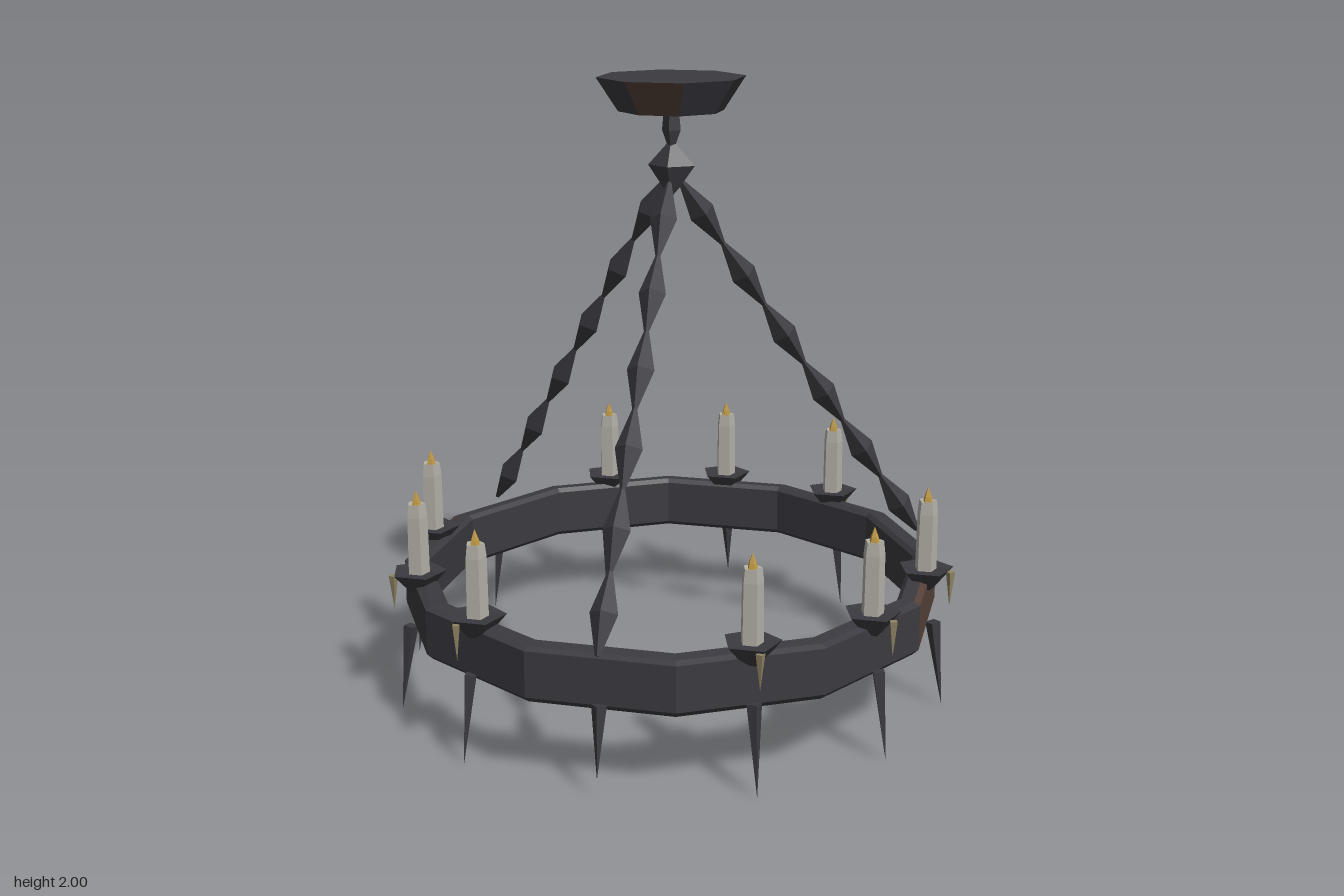
import * as THREE from 'three';

const iron = new THREE.MeshStandardMaterial({ color: 0x3b3a40 });
iron.name = 'dark iron';
const rust = new THREE.MeshStandardMaterial({ color: 0x55423a });
rust.name = 'rusty iron';
const wax = new THREE.MeshStandardMaterial({ color: 0xb2afa6 });
wax.name = 'candle wax';
const bone = new THREE.MeshStandardMaterial({ color: 0x8f8464 });
bone.name = 'old wax drip';
const gold = new THREE.MeshStandardMaterial({ color: 0xc09a45 });
gold.name = 'flame gold';

const rad = THREE.MathUtils.degToRad;

// Faceted mesh: every face gets its own normal
function part(name, geometry, material, parent) {
  const g = geometry.index ? geometry.toNonIndexed() : geometry;
  g.computeVertexNormals();
  const mesh = new THREE.Mesh(g, material);
  mesh.name = name;
  parent.add(mesh);
  return mesh;
}

// Lathe from [radius, height] pairs listed from bottom to top
function turned(points, sides, start = 0, length = Math.PI * 2) {
  return new THREE.LatheGeometry(points.map(p => new THREE.Vector2(...p)), sides, start, length);
}

// Twelve-sided hoop, rusty on the outside of its two side panels
function addHoop(parent) {
  const hoop = new THREE.Group();
  hoop.name = 'hoop';
  hoop.scale.x = 0.985;
  parent.add(hoop);
  const outer = [[0.868, 0.26], [0.889, 0.28], [0.889, 0.425], [0.868, 0.434]];
  const inner = [[0.868, 0.434], [0.825, 0.438], [0.81, 0.425], [0.81, 0.275], [0.825, 0.26], [0.868, 0.26]];
  for (let i = 0; i < 12; i++) {
    const material = i % 6 === 3 ? rust : iron;
    part('hoopPanel', turned(outer, 1, rad(i * 30 - 15), rad(30)), material, hoop);
  }
  part('hoopInside', turned(inner, 12, rad(15)), iron, hoop);
}

// Octagonal ceiling plate, rusty at front and back
function addCeilingPlate(parent) {
  const plate = new THREE.Group();
  plate.name = 'ceilingPlate';
  parent.add(plate);
  const wall = [[0.166, 1.895], [0.235, 2]];
  for (let i = 0; i < 8; i++) {
    const material = i % 4 === 0 ? rust : iron;
    part('plateSide', turned(wall, 1, rad(i * 45 - 22.5), rad(45)), material, plate);
  }
  part('plateTop', turned([[0.235, 2], [0, 2]], 8, rad(22.5)), iron, plate);
  part('plateBottom', turned([[0, 1.895], [0.166, 1.895]], 8, rad(22.5)), iron, plate);
}

// Chain of six stretched diamonds running from the hub down to the hoop
function addChain(parent) {
  const chain = new THREE.Group();
  chain.name = 'chain';
  parent.add(chain);
  const top = new THREE.Vector3(0, 1.675, 0.03);
  const end = new THREE.Vector3(0, 0.44, 0.875);
  const dir = end.clone().sub(top);
  const h = dir.length() / 12;
  const up = new THREE.Vector3(0, 1, 0);
  for (let i = 0; i < 6; i++) {
    const link = part('chainLink',
      turned([[0, -h], [0.008, -h], [0.043, 0], [0.008, h], [0, h]], 4), iron, chain);
    link.position.lerpVectors(top, end, (i + 0.5) / 6);
    link.quaternion.setFromUnitVectors(up, dir.clone().normalize().negate());
  }
}

// Dish, candle and flame; the corner of each pentagon points to the back
function addCandle(parent, angle) {
  const candle = new THREE.Group();
  candle.name = 'candle';
  candle.position.set(0.835 * Math.sin(angle), 0, 0.835 * Math.cos(angle));
  candle.rotation.y = Math.PI;
  parent.add(candle);
  part('dish', turned([[0, 0.4], [0.03, 0.4], [0.09, 0.468], [0, 0.46]], 5), iron, candle);
  part('wax', turned([[0.036, 0.45], [0.034, 0.65], [0.029, 0.692], [0, 0.685]], 5), wax, candle);
  part('flame', turned([[0.017, 0.683], [0.012, 0.705], [0, 0.737]], 5), gold, candle);
}

export function createModel() {
  const model = new THREE.Group();
  model.name = 'chandelier';
  const body = new THREE.Group();
  body.name = 'chandelierBody';
  body.position.z = 0.02;
  model.add(body);

  addHoop(body);
  addCeilingPlate(body);

  // Stem and diamond hub under the plate
  part('stem', turned([[0, 1.78], [0.012, 1.785], [0.03, 1.835], [0.024, 1.9]], 4), iron, body);
  const hub = part('hub', turned([[0, 1.625], [0.03, 1.66], [0.075, 1.725], [0.012, 1.795], [0, 1.8]], 4), iron, body);
  hub.scale.z = 0.68;

  for (let i = 0; i < 12; i++) {
    const angle = rad(i * 30);
    const spoke = new THREE.Group();
    spoke.name = 'spoke';
    spoke.rotation.y = angle;
    body.add(spoke);

    // Hanging spike, leaning outwards
    const tip = i % 6 === 0 ? 0.06 : 0;
    const length = 0.285 - tip;
    const spikeGeometry = new THREE.ConeGeometry(0.024, length, 4);
    spikeGeometry.rotateX(Math.PI);
    spikeGeometry.translate(0, -length / 2, 0);
    const spike = part('spike', spikeGeometry, iron, spoke);
    spike.position.set(0, 0.285, 0.865);
    spike.rotation.x = -0.13;

    // Chains take every fourth place, candles the others
    if (i % 4 === 0) {
      addChain(spoke);
    } else {
      addCandle(body, angle);
      const drip = part('waxDrip', new THREE.ConeGeometry(0.015, 0.115, 4), bone, spoke);
      drip.position.set(0, 0.402, 0.915);
      drip.rotation.x = Math.PI;
    }
  }
  return model;
}
